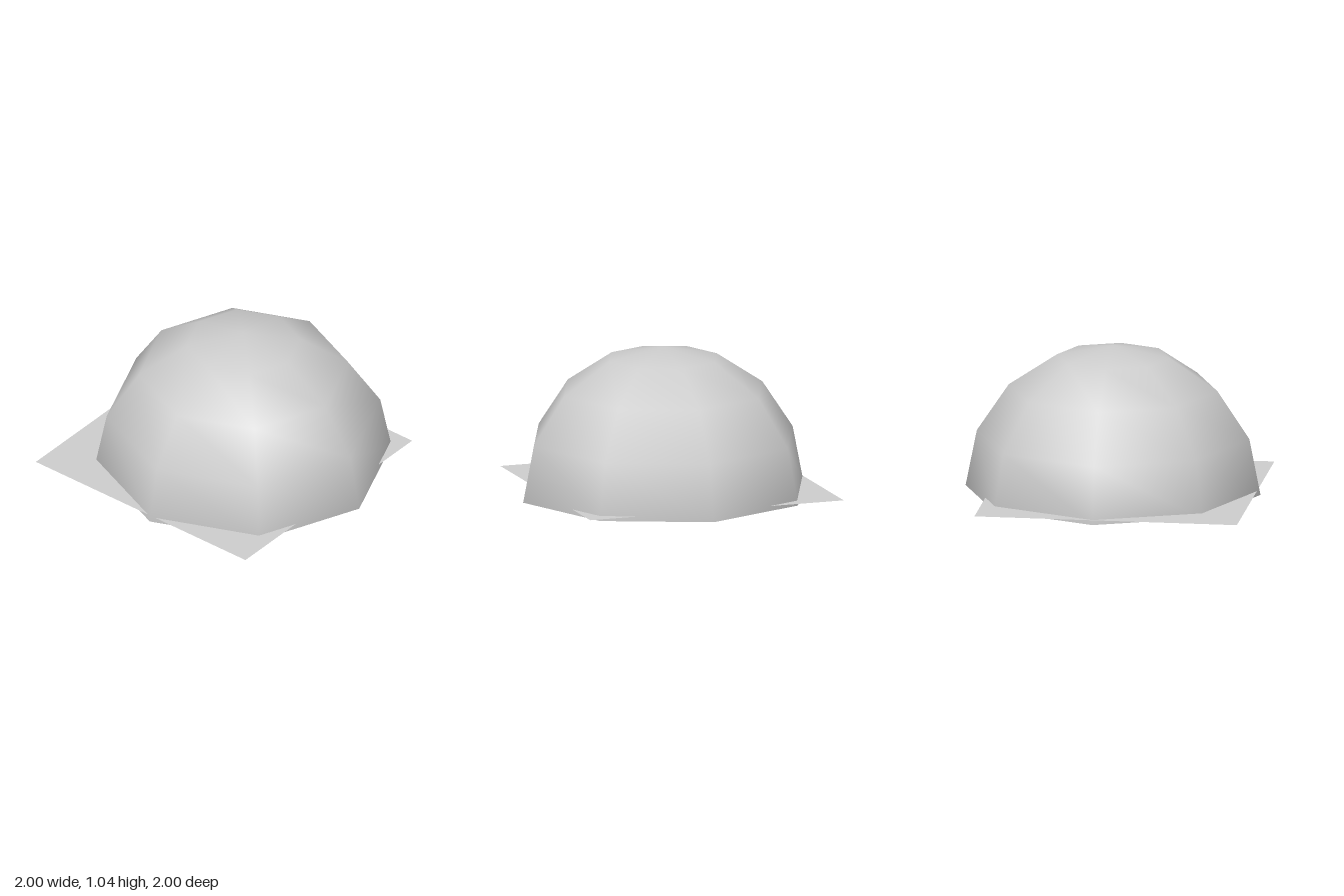
import * as THREE from 'three';

export function createModel() {
  const group = new THREE.Group();
  const grey = new THREE.MeshStandardMaterial({ color: 0xcccccc, side: THREE.DoubleSide });
  grey.name = 'light grey';

  const add = (name, geometry, x, y, z) => {
    const mesh = new THREE.Mesh(geometry, grey);
    mesh.name = name;
    mesh.position.set(x, y, z);
    group.add(mesh);
    return mesh;
  };

  // Open half-sphere shell: eight sides, four rings, smooth normals
  add('dome', new THREE.SphereGeometry(1, 8, 4, 0, Math.PI * 2, 0, Math.PI / 2), 0, 0.042, 0);

  // Flat square floor, off centre and cutting the shell just above its rim
  const floor = new THREE.PlaneGeometry(1.81, 1.78).rotateX(-Math.PI / 2);
  add('floor', floor, -0.095, 0.075, 0.09);

  // Outline of a rectangle with cut corners
  const outline = (Type, w, d, c) => new Type([
    [w - c, -d], [w, c - d], [w, d - c], [w - c, d],
    [c - w, d], [-w, d - c], [-w, c - d], [c - w, -d],
  ].map(([x, y]) => new THREE.Vector2(x, y)));

  // Tilted hollow foot that reaches down to the ground
  const ring = outline(THREE.Shape, 0.11, 0.085, 0.04);
  ring.holes.push(outline(THREE.Path, 0.07, 0.05, 0.02));
  const ringGeometry = new THREE.ExtrudeGeometry(ring, { depth: 0.065, bevelEnabled: false });
  ringGeometry.rotateX(-Math.PI / 2);
  add('foot', ringGeometry, -0.09, 0.011, 0.035).rotation.z = -0.1;
  add('footCore', new THREE.BoxGeometry(0.07, 0.045, 0.05), -0.09, 0.052, 0.035);
  add('footTab', new THREE.BoxGeometry(0.05, 0.04, 0.08), -0.03, 0.055, 0.15);

  // Small tips poking through the floor
  const tips = [[0.22, 0.01, 0.05], [0.06, 0.14, 0.06], [0.12, 0.08, 0.04], [0.25, -0.25, 0.03], [0.05, -0.44, 0.06]];
  for (const [x, z, size] of tips) {
    add('tip', new THREE.BoxGeometry(size, 0.03, 0.03), x, 0.075, z);
  }

  return group;
}
